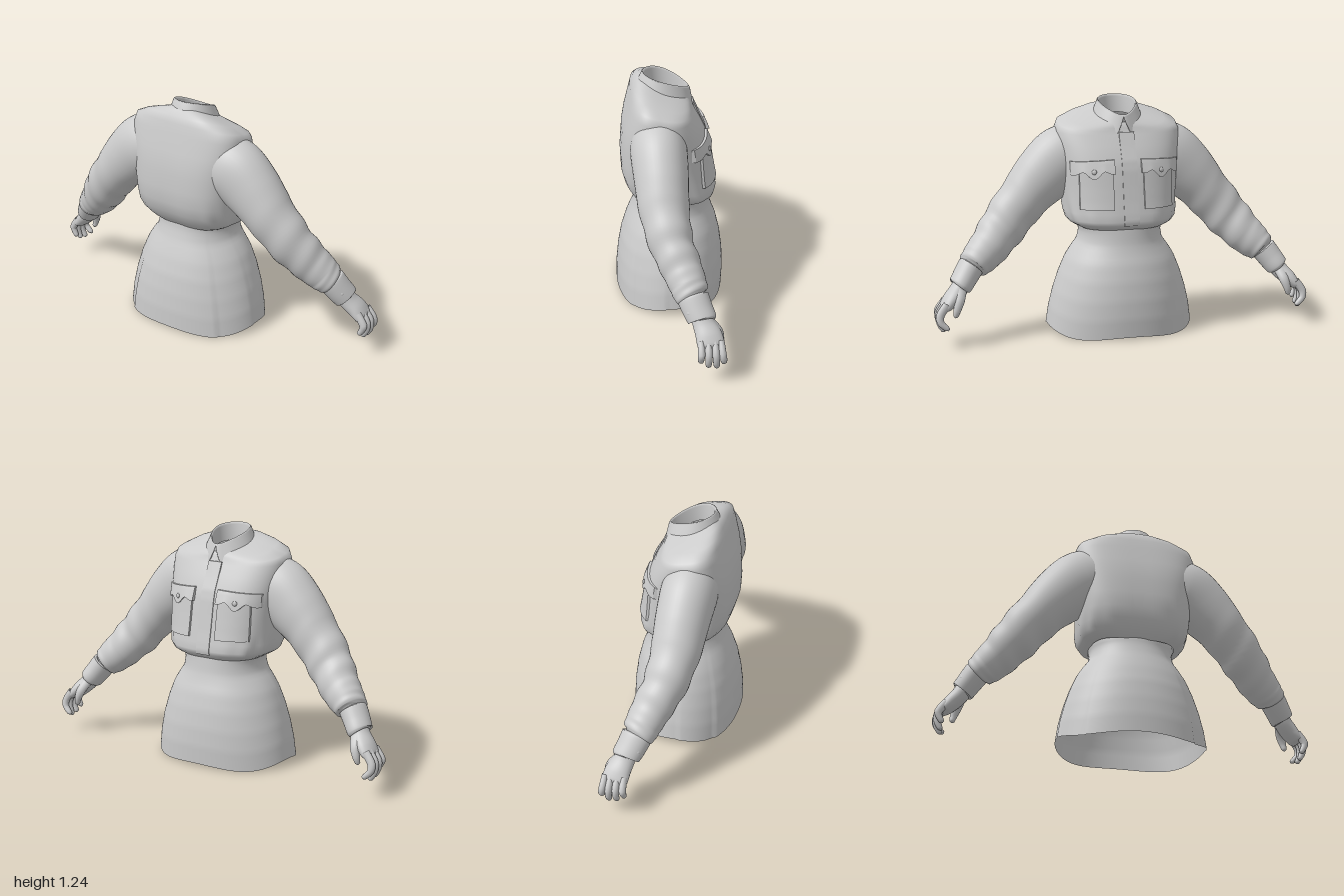
import * as THREE from 'three';

const cloth = new THREE.MeshStandardMaterial({ color: 0xcccccc, side: THREE.DoubleSide });
const FRONT_POWER = 2.6;
const BACK_POWER = 3.1;

function V(x, y, z) {
  return new THREE.Vector3(x, y, z);
}

function lerp(a, b, k) {
  return a + (b - a) * k;
}

function clamp01(v) {
  return Math.min(1, Math.max(0, v));
}

function signedPow(v, e) {
  return Math.sign(v) * Math.pow(Math.abs(v), e);
}

// Smooth bump of height 1 around a centre
function bump(v, centre, width) {
  const d = (v - centre) / width;
  return Math.exp(-d * d);
}

function part(parent, geometry, name) {
  const mesh = new THREE.Mesh(geometry, cloth);
  mesh.name = name;
  parent.add(mesh);
  return mesh;
}

function ring(count, fn) {
  const points = [];
  for (let j = 0; j < count; j++) points.push(fn((j / count) * Math.PI * 2));
  return points;
}

// Skin a list of closed rings of points
function loft(rings) {
  const n = rings[0].length;
  const index = [];
  for (let i = 0; i < rings.length - 1; i++) {
    for (let j = 0; j < n; j++) {
      const a = i * n + j;
      const b = i * n + ((j + 1) % n);
      index.push(a, b, a + n, b, b + n, a + n);
    }
  }
  const g = new THREE.BufferGeometry().setFromPoints(rings.flat());
  g.setIndex(index);
  g.computeVertexNormals();
  return g;
}

// Sweep ellipses along a path, each row holding x, y, z, radius along x, radius across
function sweep(rows, steps, sides, ripple = () => 1) {
  const path = new THREE.CatmullRomCurve3(rows.map((r) => V(r[0], r[1], r[2])));
  const radii = new THREE.CatmullRomCurve3(rows.map((r) => V(r[3], r[4], 0)));
  const rings = [];
  for (let i = 0; i <= steps; i++) {
    const t = i / steps;
    const p = path.getPoint(t);
    const r = radii.getPoint(t);
    const T = path.getTangent(t);
    const u = V(1, 0, 0).addScaledVector(T, -T.x).normalize();
    const v = T.clone().cross(u);
    const section = ring(sides, (a) => {
      const k = ripple(t, a);
      const q = p.clone();
      q.addScaledVector(u, Math.cos(a) * r.x * k);
      q.addScaledVector(v, Math.sin(a) * r.y * k);
      return q;
    });
    rings.push(section);
  }
  return loft(rings);
}

// Profiles from top to bottom, each row holding y, back x, front x, half width
const BLOUSE = [
  [1.165, -0.14, 0.09, 0.105], [1.15, -0.165, 0.10, 0.17], [1.13, -0.185, 0.105, 0.25],
  [1.105, -0.2, 0.11, 0.315], [1.07, -0.212, 0.12, 0.33], [1.0, -0.235, 0.15, 0.328],
  [0.93, -0.248, 0.182, 0.318], [0.88, -0.252, 0.195, 0.312], [0.8, -0.258, 0.208, 0.305],
  [0.72, -0.255, 0.222, 0.298], [0.66, -0.238, 0.234, 0.293], [0.62, -0.215, 0.24, 0.283],
  [0.6, -0.2, 0.235, 0.268], [0.585, -0.188, 0.217, 0.245], [0.572, -0.175, 0.198, 0.22],
];
const SKIRT = [
  [0.6, -0.175, 0.198, 0.225], [0.575, -0.18, 0.203, 0.226], [0.55, -0.18, 0.205, 0.216],
  [0.49, -0.196, 0.213, 0.226], [0.44, -0.215, 0.228, 0.26], [0.39, -0.233, 0.247, 0.29],
  [0.3, -0.257, 0.268, 0.325], [0.2, -0.272, 0.281, 0.355], [0.1, -0.28, 0.285, 0.377], [0, -0.28, 0.28, 0.39],
];

function sample(rows, y) {
  let i = 0;
  while (i < rows.length - 2 && rows[i + 1][0] > y) i++;
  const upper = rows[i];
  const lower = rows[i + 1];
  const k = clamp01((upper[0] - y) / (upper[0] - lower[0]));
  return upper.map((v, c) => lerp(v, lower[c], k));
}

function frontX(z, y) {
  const [, back, front, hz] = sample(BLOUSE, y);
  const rest = Math.max(0, 1 - Math.pow(Math.abs(z / hz), FRONT_POWER));
  return (front + back) / 2 + ((front - back) / 2) * Math.pow(rest, 1 / FRONT_POWER);
}

// The neckline drops toward the front, the waist has soft gathers
function blouse() {
  const rings = BLOUSE.map(([y, back, front, hz]) => ring(96, (a) => {
    const e = 2 / (Math.cos(a) > 0 ? FRONT_POWER : BACK_POWER);
    const x = (front + back) / 2 + ((front - back) / 2) * signedPow(Math.cos(a), e);
    const z = hz * signedPow(Math.sin(a), e);
    const tilt = -0.4 * (x + 0.03) * clamp01((y - 1.04) / 0.12);
    const k = 1 + 0.018 * Math.sin(a * 13) * bump(y, 0.64, 0.05) * Math.abs(Math.sin(a));
    return V(x * k, y + tilt, z * k);
  }));
  return loft(rings);
}

// Flared skirt with overlapping side and back panels
function skirt() {
  const rings = [];
  for (let i = 0; i <= 30; i++) {
    const low = i / 30;
    const [y, back, front, hz] = sample(SKIRT, 0.6 * (1 - low));
    const section = ring(128, (a) => {
      const c = Math.cos(a);
      const s = Math.sin(a);
      const hem = 0.045 * Math.pow(s, 6) + 0.018 * Math.pow(c, 8);
      let lap = 1;
      if (c < -0.12) lap += 0.012 * low;
      if (c < -0.72) lap += 0.022 * low;
      const x = (front + back) / 2 + ((front - back) / 2) * signedPow(c, 0.95) * lap;
      return V(x, y + hem * low, hz * signedPow(s, 0.95) * lap);
    });
    rings.push(section);
  }
  return loft(rings);
}

// Folded collar: inside, rim, and outer fall with two front points
function collar() {
  // an oval narrowing toward the throat
  function oval(back, front, hz, height) {
    return ring(96, (a) => {
      const c = Math.cos(a);
      const x = (front + back) / 2 + ((front - back) / 2) * c;
      const taper = 1 - 0.4 * Math.pow((1 + c) / 2, 2);
      return V(x, height(x), hz * Math.sin(a) * taper);
    });
  }
  const rim = (lift) => (x) => 1.2 + lift - 0.4 * x - 0.9 * x * x;
  const top = oval(-0.142, 0.104, 0.114, rim(-0.002));
  // the fall runs from the rim at the throat out to the points
  function fall(grow, lift) {
    return ring(96, (a) => {
      const fromFront = Math.min(a, Math.PI * 2 - a);
      const j = Math.round((a / (Math.PI * 2)) * 96);
      const x = -0.018 + (0.148 + grow) * Math.cos(a);
      const y = 1.098 + lift - 0.45 * x - 0.02 * bump(fromFront, 0.42, 0.3);
      const low = V(x, y, (0.14 + grow) * Math.sin(a));
      return top[j].clone().lerp(low, Math.min(fromFront / 0.42, 1));
    });
  }
  return loft([
    oval(-0.125, 0.085, 0.1, rim(-0.09)),
    oval(-0.129, 0.09, 0.102, rim(-0.008)),
    oval(-0.135, 0.097, 0.107, rim(0.004)),
    top,
    fall(0, 0.008),
    fall(0.001, 0),
    fall(-0.014, 0.004),
  ]);
}

// Lay a flat geometry onto the chest: its x runs across, its z is thickness
function onChest(g, z0, y0, lift) {
  const p = g.attributes.position;
  for (let i = 0; i < p.count; i++) {
    const z = z0 - p.getX(i);
    const y = y0 + p.getY(i);
    p.setXYZ(i, frontX(z, y) + lift + p.getZ(i), y, z);
  }
  g.computeVertexNormals();
  return g;
}

function button(parent, position, normal, name) {
  const b = part(parent, new THREE.SphereGeometry(0.013, 16, 10).scale(1, 0.5, 1), name);
  b.position.copy(position);
  b.quaternion.setFromUnitVectors(V(0, 1, 0), normal.normalize());
}

// Patch pocket with a scalloped, buttoned flap
function pocket(parent) {
  const bag = new THREE.BoxGeometry(0.165, 0.22, 0.018, 16, 16, 1);
  part(parent, onChest(bag, 0.163, 0.795, 0.004), 'pocketBag');
  const flap = new THREE.BoxGeometry(0.215, 0.07, 0.022, 28, 6, 1);
  const p = flap.attributes.position;
  for (let i = 0; i < p.count; i++) {
    const u = p.getX(i) / 0.1075;
    const k = 0.5 - p.getY(i) / 0.07;
    const edge = 0.022 * bump(u, 0, 0.25) - 0.016 * bump(Math.abs(u), 0.5, 0.2);
    // the top edge lies flat, the lower edge stands off the bag
    if (p.getZ(i) > 0) p.setZ(i, 0.005 + 0.009 * k);
    p.setY(i, p.getY(i) - edge * k + 0.006 * u);
  }
  part(parent, onChest(flap, 0.178, 0.898, 0.008), 'pocketFlap');
  button(parent, V(frontX(0.178, 0.88) + 0.02, 0.88, 0.178), V(1, 0.1, 0.35), 'pocketButton');
}

// Creases gather round the elbow and above the cuff
function creases(t, a) {
  const elbow = 0.04 * bump(t, 0.52, 0.14) * Math.sin(t * 55 + 2 * Math.sin(a));
  const wrist = 0.02 * bump(t, 0.85, 0.1) * Math.sin(t * 60 + 3 * Math.cos(a));
  return 1 + elbow + wrist;
}

function arm(parent) {
  const sleeve = [
    [-0.075, 0.93, 0.2, 0.135, 0.16], [-0.073, 0.917, 0.28, 0.143, 0.174], [-0.068, 0.832, 0.39, 0.137, 0.158],
    [-0.062, 0.72, 0.495, 0.126, 0.132], [-0.035, 0.588, 0.605, 0.11, 0.122], [0.012, 0.487, 0.693, 0.1, 0.106],
    [0.038, 0.432, 0.752, 0.092, 0.094], [0.052, 0.4, 0.79, 0.085, 0.078], [0.06, 0.388, 0.802, 0.06, 0.052],
  ];
  const cuff = [
    [0.055, 0.4, 0.795, 0.066, 0.058], [0.057, 0.394, 0.8, 0.078, 0.068], [0.076, 0.349, 0.832, 0.075, 0.065],
    [0.097, 0.307, 0.862, 0.071, 0.061], [0.098, 0.302, 0.866, 0.058, 0.048],
  ];
  const palm = [
    [0.09, 0.33, 0.845, 0.05, 0.046], [0.105, 0.285, 0.875, 0.055, 0.045], [0.125, 0.245, 0.915, 0.065, 0.041],
    [0.133, 0.212, 0.945, 0.066, 0.031], [0.135, 0.192, 0.96, 0.05, 0.01],
  ];
  const thumb = [
    [0.14, 0.29, 0.865, 0.022, 0.03], [0.175, 0.245, 0.878, 0.022, 0.026], [0.185, 0.2, 0.892, 0.018, 0.019],
    [0.181, 0.17, 0.899, 0.013, 0.013], [0.18, 0.16, 0.901, 0.001, 0.001],
  ];
  part(parent, sweep(sleeve, 72, 40, creases), 'sleeve');
  part(parent, sweep(cuff, 28, 36), 'cuff');
  part(parent, sweep(palm, 20, 28), 'palm');
  part(parent, sweep(thumb, 20, 14), 'thumb');
  button(parent, V(0.012, 0.404, 0.845), V(-0.55, 0.4, 0.65), 'cuffButton');
  button(parent, V(0.03, 0.358, 0.876), V(-0.55, 0.4, 0.65), 'cuffButton');

  // four fingers, each with base x, tip x, tip y, tip z
  const fingers = [[0.085, 0.084, 0.118, 0.955], [0.119, 0.121, 0.093, 0.957], [0.151, 0.161, 0.086, 0.955], [0.181, 0.197, 0.1, 0.94]];
  for (const [bx, tx, ty, tz] of fingers) {
    const finger = [
      [bx, 0.235, 0.94, 0.017, 0.022], [lerp(bx, tx, 0.4), 0.18, 0.978, 0.018, 0.021],
      [lerp(bx, tx, 0.75), ty + 0.045, 0.977, 0.017, 0.018], [tx, ty + 0.009, tz + 0.004, 0.014, 0.013],
      [tx, ty, tz, 0.001, 0.001],
    ];
    part(parent, sweep(finger, 20, 14), 'finger');
  }
}

export function createModel() {
  const model = new THREE.Group();
  model.name = 'fieldJacket';
  part(model, blouse(), 'blouse');
  part(model, skirt(), 'skirt');
  part(model, collar(), 'collar');
  const placket = new THREE.BoxGeometry(0.08, 0.47, 0.008, 8, 40, 1);
  part(model, onChest(placket, -0.01, 0.835, 0), 'frontPlacket');

  // arms and pockets, mirrored across the body
  for (const side of [1, -1]) {
    const half = new THREE.Group();
    half.name = side > 0 ? 'leftSide' : 'rightSide';
    arm(half);
    pocket(half);
    half.scale.z = side;
    model.add(half);
  }
  return model;
}
